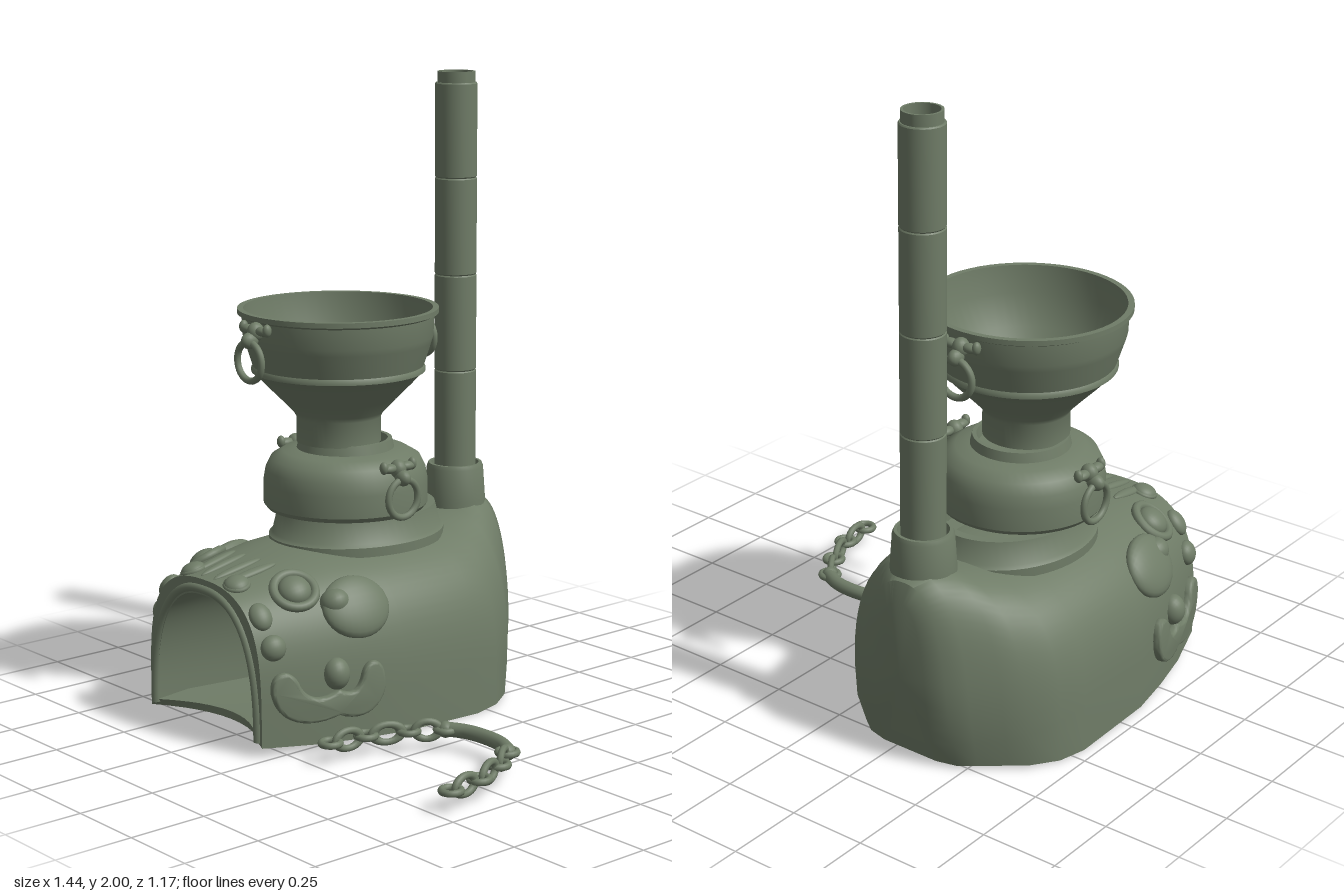
import * as THREE from 'three';
import { toCreasedNormals } from 'three/addons/utils/BufferGeometryUtils.js';

const patina = new THREE.MeshStandardMaterial({ color: 0x6f7c67, side: THREE.DoubleSide });
patina.name = 'greenish bronze';

const V = (x, y, z) => new THREE.Vector3(x, y, z);
const CX = -0.31; // centre line of the stove

function mesh(name, geo, x = 0, y = 0, z = 0) {
  const m = new THREE.Mesh(geo, patina);
  m.name = name;
  m.position.set(x, y, z);
  return m;
}
function lathe(name, pts, x, z, segs = 56) {
  const g = new THREE.LatheGeometry(pts.map(p => new THREE.Vector2(p[0], p[1])), segs);
  return mesh(name, toCreasedNormals(g, 0.6), x, 0, z);
}

// Body stations, back to front: z, half width, bottom, top, roundness
const OUTER = [
  [-0.585, 0.10, 0.01, 0.53, 2.6], [-0.565, 0.165, 0.01, 0.59, 2.6], [-0.52, 0.215, 0.01, 0.615, 2.6],
  [-0.45, 0.285, 0.01, 0.61, 2.7], [-0.4, 0.335, 0.01, 0.59, 3], [-0.3, 0.385, 0.005, 0.565, 3.5],
  [-0.2, 0.403, 0, 0.56, 4], [0.1, 0.405, 0.01, 0.56, 4], [0.25, 0.38, 0.015, 0.555, 4],
  [0.4, 0.345, 0.02, 0.535, 4], [0.575, 0.285, 0.03, 0.5, 4],
];
// Fire chamber stations, front to back
const INNER = [
  [0.575, 0.25, 0.055, 0.45, 2.3], [0.45, 0.26, 0.06, 0.455, 2.3],
  [0.1, 0.21, 0.06, 0.45, 2.3], [-0.1, 0.18, 0.06, 0.42, 2.3],
];

function archPoint([z, w, y0, top, p], a) {
  const c = Math.cos(a), s = Math.max(0, Math.sin(a));
  const y = y0 + (top - y0) * Math.pow(s, 2 / p);
  const back = Math.max(0, (-z - 0.3) / 0.285), low = Math.max(0, 1 - y / 0.3);
  return V(w * Math.sign(c) * Math.pow(Math.abs(c), 0.8), y, z + 0.05 * back * low * low);
}
function sectionRing(st, n = 40, m = 12) {
  const ring = [];
  for (let j = 0; j <= n; j++) ring.push(archPoint(st, Math.PI * j / n));
  const base = ring[0].z;
  for (let j = 1; j < m; j++) {
    const t = -1 + 2 * j / m;
    const notch = st[0] > 0.5 ? 0.1 * (1 - t * t) : 0; // curved front edge of the floor
    ring.push(V(st[1] * t, st[2], base - notch));
  }
  return ring;
}
function loft(rings) {
  const n = rings[0].length, pos = [], idx = [];
  rings.forEach(r => r.forEach(p => pos.push(p.x, p.y, p.z)));
  for (let i = 0; i + 1 < rings.length; i++) for (let j = 0; j < n; j++) {
    const a = i * n + j, b = i * n + (j + 1) % n, c = b + n, d = a + n;
    idx.push(a, b, c, a, c, d);
  }
  const g = new THREE.BufferGeometry();
  g.setAttribute('position', new THREE.Float32BufferAttribute(pos, 3));
  g.setIndex(idx);
  return toCreasedNormals(g, 0.7);
}

// Outer skin at depth z and arch angle a
function stationAt(z) {
  let i = 0;
  while (i < OUTER.length - 2 && OUTER[i + 1][0] < z) i++;
  const A = OUTER[i], B = OUTER[i + 1], t = (z - A[0]) / (B[0] - A[0]);
  return A.map((v, k) => v + (B[k] - v) * t);
}
const skin = (z, a) => archPoint(stationAt(z), a);
function skinFrame(z, a) {
  const e = 0.01, p = skin(z, a);
  const along = skin(z + e, a).sub(skin(z - e, a)).normalize();
  const n = skin(z, a + e).sub(skin(z, a - e)).cross(along).normalize();
  return { p, along, n };
}
function angleOfY(z, y) {
  const s = stationAt(z);
  return Math.asin(Math.min(1, Math.pow(Math.max(0, (y - s[2]) / (s[3] - s[2])), s[4] / 2)));
}

function buildBody() {
  const body = new THREE.Group();
  body.name = 'stoveBody';
  const collapse = (r, x, y, z) => r.map(() => V(x, y, z));
  const out = OUTER.map(s => sectionRing(s)), inn = INNER.map(s => sectionRing(s));
  body.add(mesh('bodyShell', loft([collapse(out[0], 0, 0.28, -0.585), ...out, ...inn,
    collapse(inn[0], 0, 0.2, -0.1)])));
  // Raised lip round the fire mouth
  const lip = [];
  for (let j = 0; j <= 30; j++) lip.push(archPoint([0.573, 0.262, 0.045, 0.468, 2.5], Math.PI * j / 30));
  body.add(mesh('mouthLip', new THREE.TubeGeometry(new THREE.CatmullRomCurve3(lip), 60, 0.014, 8)));
  for (const side of [1, -1]) {
    const relief = buildRelief();
    relief.scale.x = side;
    relief.name = side > 0 ? 'leftRelief' : 'rightRelief';
    body.add(relief);
  }
  body.position.x = CX;
  return body;
}

// Embossed face on one side of the body
function buildRelief() {
  const g = new THREE.Group();
  const place = (m, z, a) => {
    const { p, along, n } = skinFrame(z, a);
    m.quaternion.setFromRotationMatrix(new THREE.Matrix4().makeBasis(along.clone().cross(n), along, n));
    m.position.copy(p);
    g.add(m);
  };
  const bump = (name, z, a, across, along, depth) => {
    const m = mesh(name, new THREE.SphereGeometry(1, 24, 16));
    m.scale.set(across, along, depth);
    place(m, z, a);
  };
  const ring = (name, z, a, r, tube) => {
    const m = mesh(name, new THREE.TorusGeometry(r, tube, 10, 32));
    place(m, z, a);
  };
  bump('eyeball', 0.4, 0.93, 0.052, 0.052, 0.035);
  ring('eyeRim', 0.4, 0.93, 0.065, 0.015);
  bump('ear', 0.24, 0.6, 0.1, 0.115, 0.04);
  bump('earLobe', 0.3, 0.68, 0.045, 0.05, 0.05);
  bump('cheekBall', 0.525, 0.42, 0.04, 0.04, 0.03);
  bump('browKnob', 0.535, 0.75, 0.045, 0.035, 0.025);
  bump('browCurl', 0.53, 1.28, 0.04, 0.04, 0.025);
  ring('browCurlRim', 0.53, 1.28, 0.034, 0.009);
  bump('browRidge', 0.46, 1.36, 0.018, 0.09, 0.012);
  bump('noseRidge', 0.47, 1.51, 0.016, 0.09, 0.012);

  // Moustache plate: extruded outline wrapped onto the skin (u = -z, v = y)
  const s = new THREE.Shape();
  s.moveTo(-0.34, 0.185);
  s.bezierCurveTo(-0.39, 0.16, -0.43, 0.16, -0.46, 0.21);
  s.bezierCurveTo(-0.48, 0.28, -0.55, 0.27, -0.545, 0.2);
  s.bezierCurveTo(-0.53, 0.1, -0.44, 0.08, -0.34, 0.11);
  s.bezierCurveTo(-0.26, 0.07, -0.18, 0.12, -0.185, 0.2);
  s.bezierCurveTo(-0.19, 0.28, -0.25, 0.27, -0.26, 0.21);
  s.bezierCurveTo(-0.28, 0.16, -0.31, 0.17, -0.34, 0.185);
  const geo = new THREE.ExtrudeGeometry(s, {
    depth: 0.012, bevelThickness: 0.012, bevelSize: 0.01, bevelOffset: -0.008, bevelSegments: 3, curveSegments: 12,
  });
  const pos = geo.attributes.position;
  for (let i = 0; i < pos.count; i++) {
    const z = -pos.getX(i), f = skinFrame(z, angleOfY(z, pos.getY(i)));
    f.p.addScaledVector(f.n, pos.getZ(i));
    pos.setXYZ(i, f.p.x, f.p.y, f.p.z);
  }
  g.add(mesh('moustache', toCreasedNormals(geo, 0.8)));
  bump('moustacheKnot', 0.34, angleOfY(0.34, 0.235), 0.05, 0.042, 0.04);
  return g;
}

// Ring hanging from a bow-shaped bracket, facing +z
function ringHandle(name, x, y, z, turn) {
  const g = new THREE.Group();
  g.name = name;
  g.add(mesh('ring', new THREE.TorusGeometry(0.06, 0.011, 10, 36), 0, -0.06, 0.02));
  const blob = (n, px, py, pz, sx, sy, sz) => {
    const m = mesh(n, new THREE.SphereGeometry(1, 16, 12), px, py, pz);
    m.scale.set(sx, sy, sz);
    g.add(m);
  };
  blob('bracketKnob', 0, 0.005, 0.018, 0.022, 0.026, 0.03);
  blob('bracketStem', 0, 0.03, -0.005, 0.025, 0.03, 0.028);
  for (const s of [1, -1]) {
    blob('bracketWing', s * 0.036, 0.035, -0.004, 0.03, 0.015, 0.018);
    blob('bracketTip', s * 0.058, 0.04, -0.004, 0.013, 0.02, 0.015);
  }
  g.position.set(x, y, z);
  g.rotation.y = turn;
  return g;
}

// Carrying handle with two chains, lying on the ground
function buildChain() {
  const g = new THREE.Group();
  g.name = 'carryingChain';
  const y = 0.062, mid = 0.412;
  const bar = new THREE.CatmullRomCurve3([[-0.145, 0.1], [-0.08, 0.068], [0, 0.058], [0.08, 0.068], [0.145, 0.1]]
    .map(p => V(mid + p[0], y, p[1])));
  g.add(mesh('handleBar', new THREE.TubeGeometry(bar, 32, 0.023, 12)));
  const stops = [[0.137, 0.1], [0.2, 0.195], [0.253, 0.32], [0.27, 0.445]];
  for (const s of [1, -1]) {
    stops.forEach(([dx, z], i) => {
      const flat = mesh('flatLink', new THREE.TorusGeometry(0.029, 0.011, 8, 24), mid + s * dx, y, z);
      flat.rotation.x = Math.PI / 2;
      g.add(flat);
      if (i === 0) g.add(mesh('barEnd', new THREE.SphereGeometry(0.026, 14, 10), mid + s * dx, y, z));
      if (i === stops.length - 1) return;
      const [ex, ez] = stops[i + 1], dir = V(s * (ex - dx), 0, ez - z), len = dir.length();
      const link = mesh('uprightLink', new THREE.TorusGeometry(0.028, 0.011, 8, 24),
        mid + s * (dx + ex) / 2, y, (z + ez) / 2);
      link.scale.x = (len / 2 - 0.005) / 0.039;
      link.rotation.y = Math.atan2(-dir.z, dir.x);
      g.add(link);
    });
  }
  return g;
}

export function createModel() {
  const model = new THREE.Group();
  model.name = 'incenseStove';
  model.add(buildBody(), buildChain());

  // Oval collar under the pot
  const collar = lathe('potCollar', [[0.25, 0.53], [0.25, 0.56], [0.24, 0.57], [0.225, 0.64], [0.2, 0.64], [0.2, 0.55], [0, 0.55]], CX, -0.04);
  collar.scale.z = 1.2;
  model.add(collar);

  // Lower pot
  model.add(lathe('lowerPot', [[0, 0.65], [0.22, 0.65], [0.25, 0.645], [0.262, 0.66], [0.262, 0.73], [0.255, 0.77], [0.238, 0.805],
    [0.2, 0.828], [0.155, 0.835], [0.148, 0.865], [0.135, 0.865], [0.13, 0.83], [0, 0.82]], CX, 0.005));

  // Steamer bowl
  model.add(lathe('upperBowl', [[0, 0.86], [0.134, 0.86], [0.134, 0.94], [0.142, 0.955], [0.185, 1.0], [0.235, 1.05], [0.262, 1.08],
    [0.275, 1.087], [0.275, 1.097], [0.27, 1.105], [0.294, 1.18], [0.3, 1.2], [0.303, 1.265], [0.317, 1.272], [0.317, 1.288],
    [0.298, 1.288], [0.288, 1.2], [0.252, 1.1], [0.18, 1.01], [0.136, 0.96], [0.134, 0.95], [0, 0.95]], CX, 0.032));

  model.add(
    ringHandle('bowlFrontHandle', CX, 1.215, 0.365, 0),
    ringHandle('bowlBackHandle', CX, 1.215, -0.3, Math.PI),
    ringHandle('potLeftHandle', CX + 0.26, 0.775, 0.005, Math.PI / 2),
    ringHandle('potRightHandle', CX - 0.26, 0.775, 0.005, -Math.PI / 2),
  );

  // Chimney: socket, four pipe lengths and a narrower open top
  const px = -0.298, pz = -0.455;
  model.add(lathe('chimneySocket', [[0.1, 0.54], [0.1, 0.6], [0.093, 0.705], [0.088, 0.718], [0.078, 0.718], [0.072, 0.66], [0, 0.66]], px, pz, 40));
  const joints = [0.67, 1.03, 1.345, 1.66, 1.965];
  for (let i = 0; i < 4; i++) {
    const a = joints[i], b = joints[i + 1];
    model.add(lathe('pipeLength', [[0.065, a], [0.068, a + 0.004], [0.068, b - 0.004], [0.065, b], [0.058, b]], px, pz, 40));
  }
  model.add(lathe('pipeTop', [[0.061, 1.96], [0.061, 2], [0.053, 2], [0.053, 1.7], [0, 1.7]], px, pz, 40));
  return model;
}
